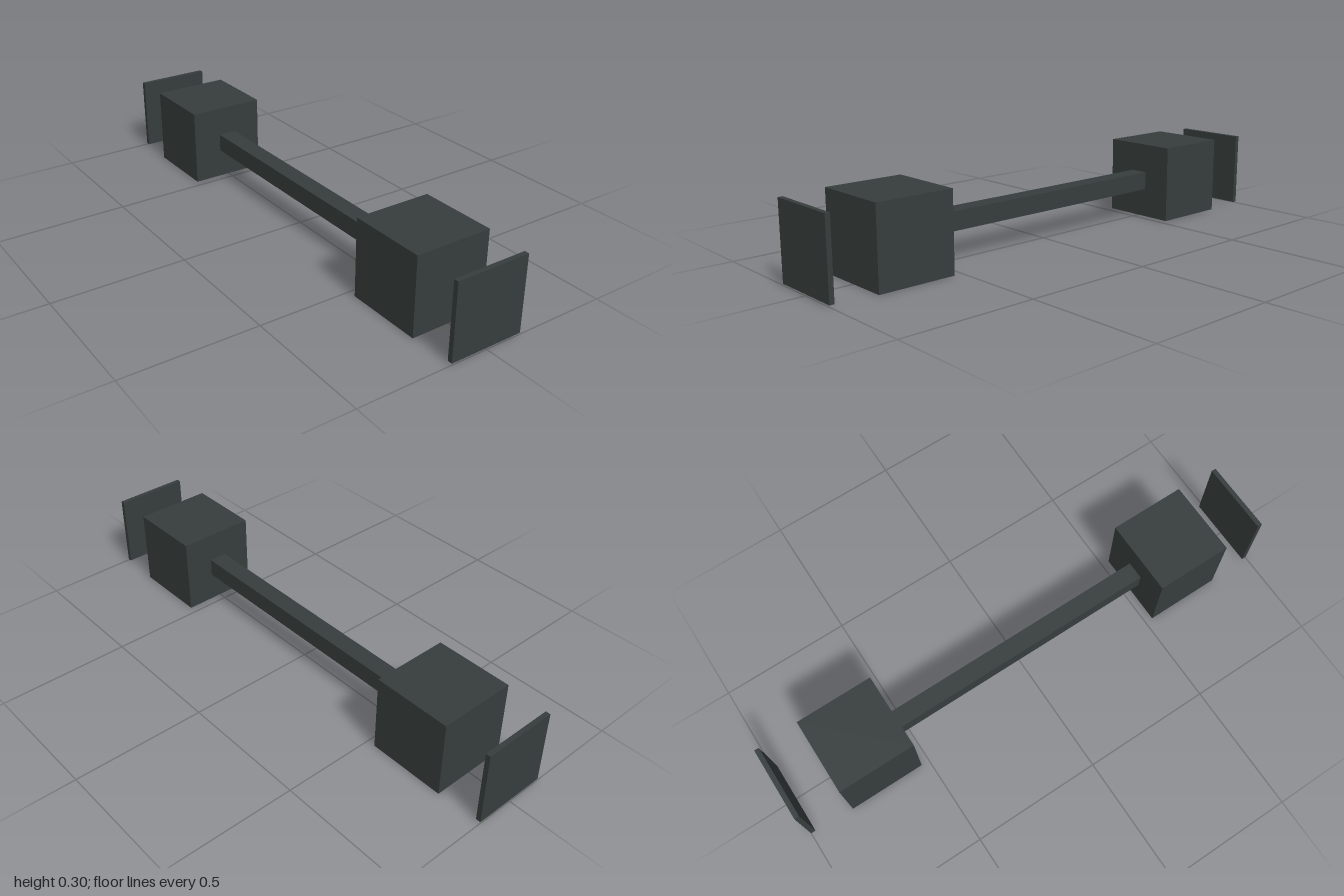
import * as THREE from 'three';

export function createModel() {
  const model = new THREE.Group();
  model.name = 'dumbbell';
  const darkSlate = new THREE.MeshStandardMaterial({ color: 0x363d3c });
  darkSlate.name = 'darkSlate';

  const size = 0.296;       // edge of each end block
  const midY = size / 2;

  const addBox = (name, w, h, d, z) => {
    const mesh = new THREE.Mesh(new THREE.BoxGeometry(w, h, d), darkSlate);
    mesh.name = name;
    mesh.position.set(0, midY, z);
    model.add(mesh);
  };

  // Square bar joining the two blocks
  addBox('bar', 0.07, 0.07, 1.066, 0);

  // End block and free-standing outer plate on each end
  for (const [end, side] of [['front', 1], ['back', -1]]) {
    addBox(end + 'Block', size, size, size, side * 0.68);
    addBox(end + 'Plate', 0.285, 0.285, 0.018, side * 0.991);
  }
  return model;
}
